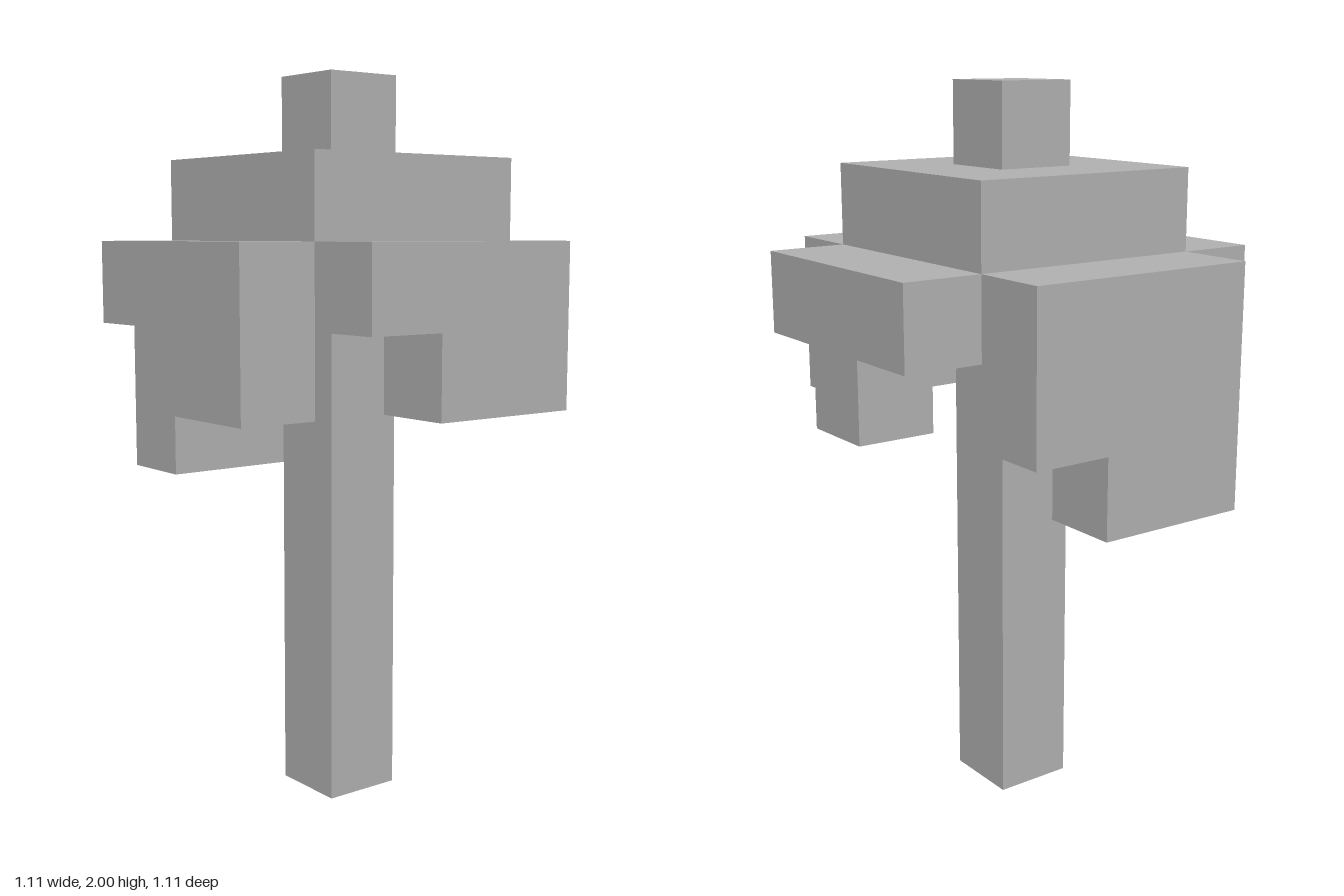
import * as THREE from 'three';

const U = 2 / 9; // edge of one block

export function createModel() {
  const group = new THREE.Group();
  const grey = new THREE.MeshStandardMaterial({ color: 0xb2b2b2, side: THREE.DoubleSide });
  grey.name = 'grey';

  const add = (name, geometry) => {
    const mesh = new THREE.Mesh(geometry, grey);
    mesh.name = name;
    group.add(mesh);
    return mesh;
  };
  // square block from y0 to y1, all in block units
  const block = (name, width, y0, y1) => {
    const geometry = new THREE.BoxGeometry(width * U, (y1 - y0) * U, width * U);
    add(name, geometry).position.y = (y0 + y1) / 2 * U;
    return geometry;
  };

  // stem, hollow and open at both ends
  const stem = block('stem', 1, 0, 6);
  const sides = stem.groups.filter(g => g.materialIndex !== 2 && g.materialIndex !== 3);
  const index = Array.from(stem.index.array);
  stem.setIndex(sides.flatMap(g => index.slice(g.start, g.start + g.count)));
  stem.clearGroups();

  // cap core and knob
  block('capCore', 3, 6, 8);
  block('knob', 1, 8, 9);

  // cap flaps: a slab down to "bottom", with a drip one block lower from a to b
  const flap = (name, angle, bottom, a, b) => {
    const points = [[-1.5, 7], [-1.5, bottom], [a, bottom], [a, bottom - 1], [b, bottom - 1]];
    if (b < 1.5) points.push([b, bottom], [1.5, bottom]);
    points.push([1.5, 7]);
    const shape = new THREE.Shape(points.map(([x, y]) => new THREE.Vector2(x * U, y * U)));
    const geometry = new THREE.ExtrudeGeometry(shape, { depth: U, bevelEnabled: false });
    geometry.translate(0, 0, 1.5 * U).rotateY(angle);
    add(name, geometry);
  };
  flap('frontFlap', 0, 6, -0.5, 1.5);
  flap('leftFlap', Math.PI / 2, 6, -0.5, 1.5);
  flap('backFlap', Math.PI, 6, -0.5, 0.5);
  flap('rightFlap', -Math.PI / 2, 5, -0.5, 1.5);

  return group;
}
